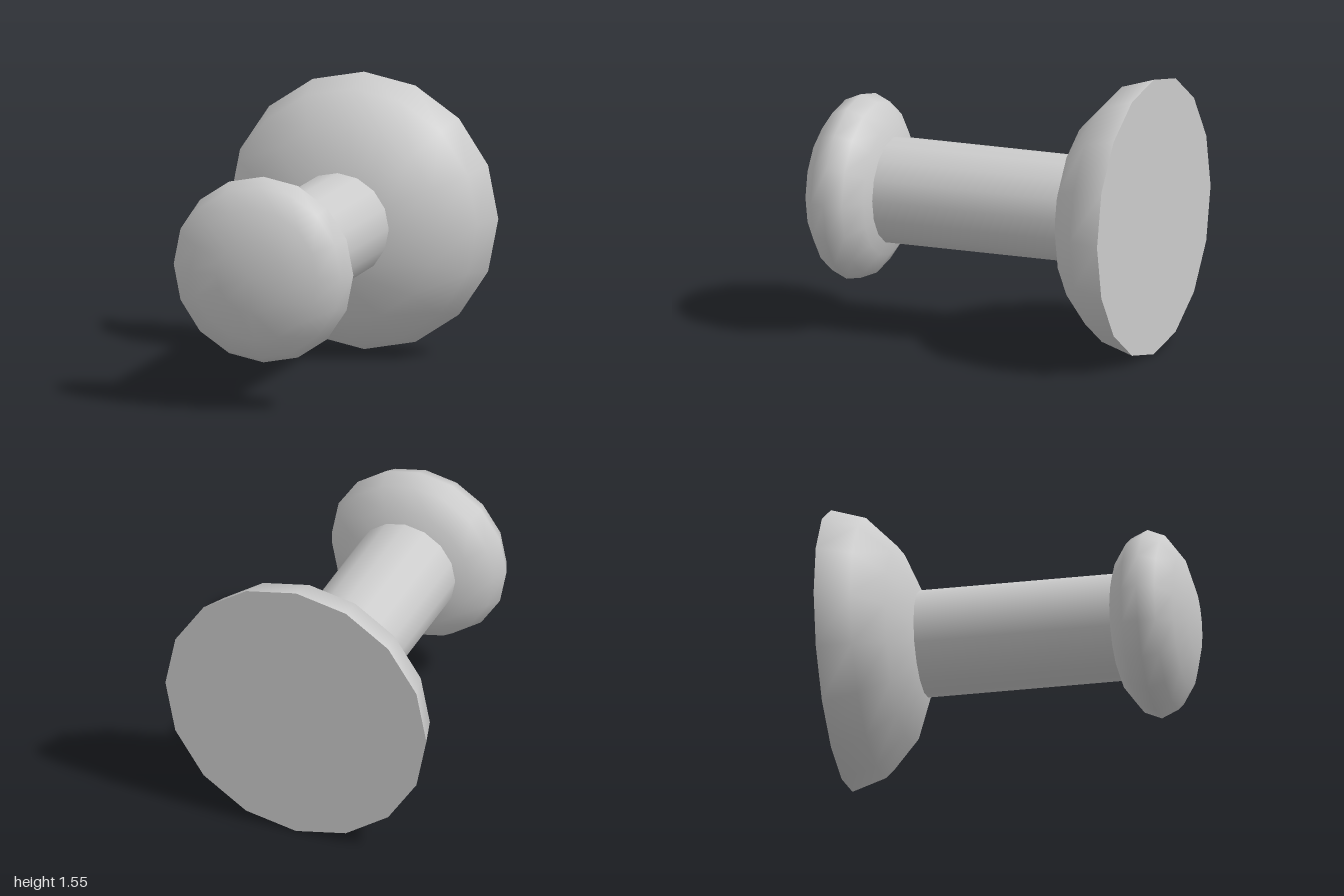
import * as THREE from 'three';

const SIDES = 16;
const AXIS_Y = 0.777;

export function createModel() {
  const group = new THREE.Group();
  const material = new THREE.MeshStandardMaterial({ color: 0xcccccc });

  // Each part is turned about y, then laid along z on the shared axis.
  const addPart = (name, geometry, z) => {
    const mesh = new THREE.Mesh(geometry.rotateX(Math.PI / 2), material);
    mesh.name = name;
    mesh.position.set(0, AXIS_Y, z);
    group.add(mesh);
  };

  // Flattened round knob at the front
  addPart('knob', new THREE.SphereGeometry(1, SIDES, 8).scale(0.52, 0.245, 0.52), 0.755);

  // Straight shaft, its ends buried in the knob and the base
  addPart('shaft', new THREE.CylinderGeometry(0.296, 0.296, 1.1, SIDES, 1, true), 0.012);

  // Half-dome base, closed by a flat back
  addPart('baseDome',
    new THREE.SphereGeometry(1, SIDES, 4, 0, Math.PI * 2, 0, Math.PI / 2).scale(0.777, 0.5, 0.777), -1);
  addPart('baseBack', new THREE.CircleGeometry(0.777, SIDES).rotateX(Math.PI / 2), -1);

  return group;
}
